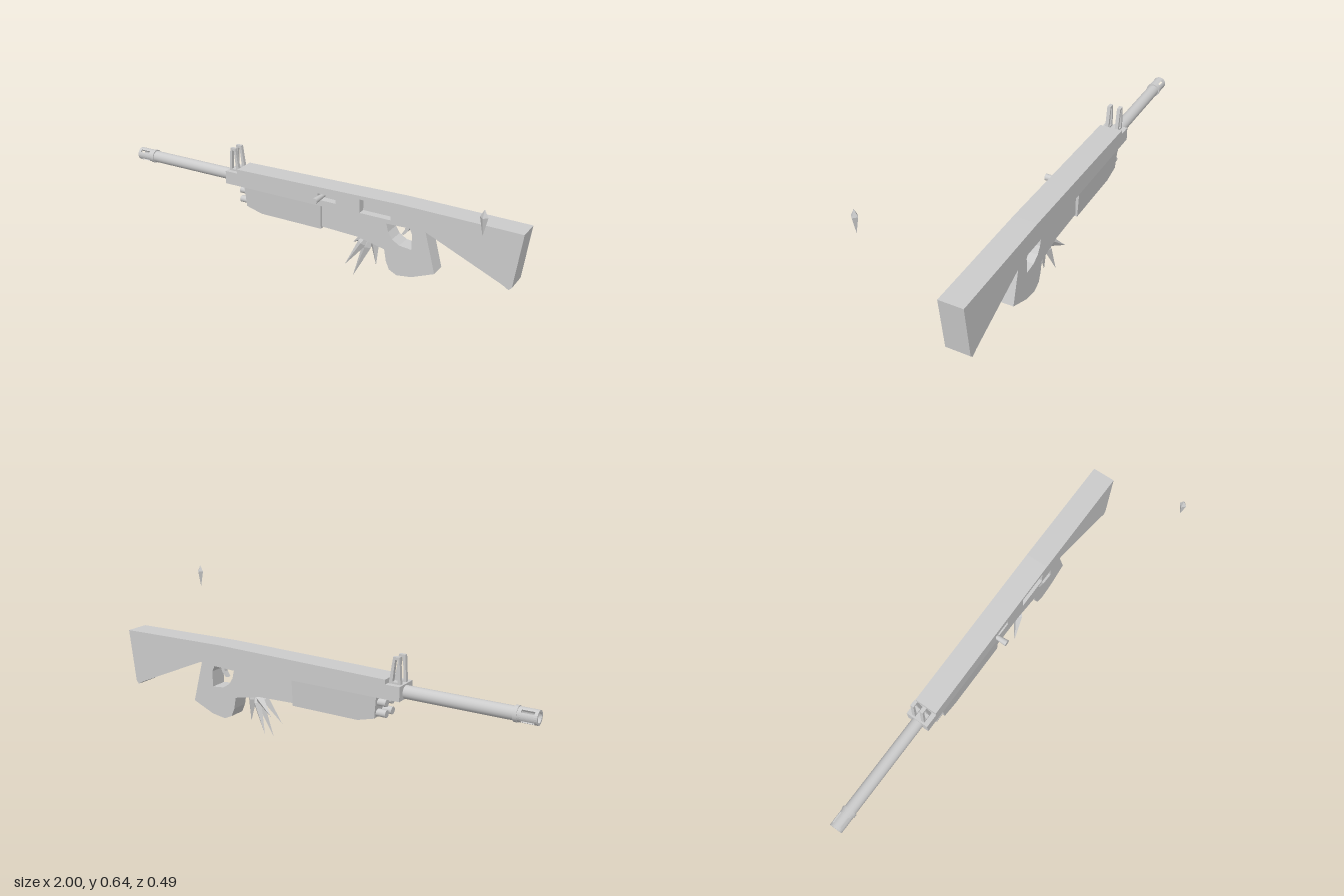
import * as THREE from 'three';

const Z = -0.189; // centre plane of the rifle
const BARREL_Y = 0.346;
const grey = new THREE.MeshStandardMaterial({ color: 0xcccccc, flatShading: true });
const smooth = new THREE.MeshStandardMaterial({ color: 0xcccccc });

export function createModel() {
  const model = new THREE.Group();

  const add = (name, geometry, material = grey) => {
    const mesh = new THREE.Mesh(geometry, material);
    mesh.name = name;
    model.add(mesh);
    return mesh;
  };
  const vecs = (pts) => pts.map(([x, y]) => new THREE.Vector2(x, y));
  // Side profile extruded from z0 to z1
  const plate = (pts, z0, z1, holes = []) => {
    const shape = new THREE.Shape(vecs(pts));
    holes.forEach((h) => shape.holes.push(new THREE.Path(vecs(h))));
    return new THREE.ExtrudeGeometry(shape, { depth: z1 - z0, bevelEnabled: false, curveSegments: 8 })
      .translate(0, 0, z0);
  };
  const rect = (x0, y0, x1, y1) => [[x0, y0], [x1, y0], [x1, y1], [x0, y1]];
  // Round rod along x
  const rod = (name, x0, x1, r, y, z) =>
    add(name, new THREE.CylinderGeometry(r, r, x1 - x0, 20)
      .rotateZ(Math.PI / 2).translate((x0 + x1) / 2, y, z), smooth);
  // Four-sided crystal running from tip to root
  const crystal = (name, tip, root, r, widest) => {
    const a = new THREE.Vector3(...tip), b = new THREE.Vector3(...root);
    const len = a.distanceTo(b);
    const mesh = add(name, new THREE.LatheGeometry(vecs([[0, 0], [r, len * widest], [0, len]]), 4));
    mesh.position.copy(a);
    mesh.quaternion.setFromUnitVectors(new THREE.Vector3(0, 1, 0), b.sub(a).normalize());
  };

  // Receiver and stock: solid rear slab, front slab with two recesses
  const body = [
    [-0.445, 0.318], [0.57, 0.318], [0.93, 0.163], [0.957, 0.147], [0.97, 0.16],
    [0.998, 0.405], [0.45, 0.413], [-0.38, 0.4], [-0.38, 0.38], [-0.445, 0.38],
  ];
  const port = rect(0.265, 0.33, 0.415, 0.393);
  const slot = rect(0.055, 0.346, 0.147, 0.376);
  add('receiverAndStock', plate(body, -0.243, -0.172));
  add('receiverPortSide', plate(body, -0.172, -0.135, [port, slot]));

  // Handguard, slightly narrower towards its underside
  const guard = plate([
    [-0.372, 0.318], [-0.34, 0.318], [-0.33, 0.225], [-0.25, 0.203], [0.07, 0.203], [0.07, 0.318],
  ], -0.054, 0.054);
  const p = guard.attributes.position;
  for (let i = 0; i < p.count; i++) {
    p.setZ(i, p.getZ(i) * (1 - 0.12 * (0.318 - p.getY(i)) / 0.115));
  }
  guard.translate(0, 0, Z);
  guard.computeVertexNormals();
  add('handguard', guard);

  // Grip frame with trigger opening
  add('gripFrame', plate([
    [0.06, 0.32], [0.06, 0.212], [0.25, 0.206], [0.385, 0.178], [0.395, 0.125], [0.412, 0.086],
    [0.45, 0.068], [0.52, 0.078], [0.625, 0.122], [0.57, 0.32],
  ], -0.228, -0.15, [[
    [0.39, 0.303], [0.4, 0.265], [0.42, 0.235], [0.455, 0.214], [0.513, 0.208],
    [0.513, 0.28], [0.5, 0.306],
  ]]));
  add('trigger', plate([
    [0.47, 0.31], [0.465, 0.28], [0.45, 0.255], [0.462, 0.255], [0.482, 0.278], [0.49, 0.31],
  ], Z - 0.01, Z + 0.01));

  // Barrel with collar
  rod('barrel', -0.92, -0.43, 0.028, BARREL_Y, Z);
  rod('barrelCollar', -0.92, -0.905, 0.033, BARREL_Y, Z);

  // Hollow muzzle: two rings joined by four prongs, leaving diagonal slots
  const sleeve = (name, x0, x1, mid, span) => {
    const full = span >= Math.PI * 2;
    const shape = new THREE.Shape();
    const a0 = mid - span / 2, a1 = mid + span / 2;
    shape.absarc(0, 0, 0.03, a0, a1, false);
    if (full) {
      shape.holes.push(new THREE.Path().absarc(0, 0, 0.021, 0, Math.PI * 2, true));
    } else {
      shape.absarc(0, 0, 0.021, a1, a0, true);
    }
    add(name, new THREE.ExtrudeGeometry(shape, { depth: x1 - x0, bevelEnabled: false, curveSegments: full ? 12 : 5 })
      .rotateY(Math.PI / 2).translate(x0, BARREL_Y, Z));
  };
  sleeve('muzzleRing', -1, -0.987, 0, Math.PI * 2);
  sleeve('muzzleBase', -0.935, -0.918, 0, Math.PI * 2);
  for (let i = 0; i < 4; i++) sleeve('muzzleProng', -0.988, -0.934, i * Math.PI / 2, 1.15);

  // Pair of open sight frames
  for (const z of [-0.1645, -0.212]) {
    add('sightFrame', plate(
      [[-0.437, 0.375], [-0.383, 0.375], [-0.402, 0.492], [-0.43, 0.492]],
      z - 0.008, z + 0.008,
      [[[-0.424, 0.388], [-0.4, 0.388], [-0.411, 0.48], [-0.421, 0.48]]],
    ));
  }

  // Short tubes at the front of the handguard
  for (const y of [0.292, 0.246]) {
    for (const dz of [-0.025, 0.025]) rod('frontTube', -0.375, -0.3, 0.016, y, Z + dz);
  }

  // Flared charging handle
  add('chargingHandle', new THREE.CylinderGeometry(0.015, 0.009, 0.092, 16)
    .rotateX(Math.PI / 2).translate(0.066, 0.358, -0.129), smooth);

  // Crystal cluster under the frame
  const spikes = [
    [[0.23, 0.002, -0.16], [0.31, 0.225, -0.185]],
    [[0.235, 0.032, -0.218], [0.305, 0.225, -0.195]],
    [[0.2, 0.062, -0.135], [0.3, 0.225, -0.175]],
    [[0.33, 0.068, -0.19], [0.315, 0.225, -0.19]],
    [[0.185, 0.128, -0.237], [0.3, 0.22, -0.195]],
  ];
  spikes.forEach(([tip, root]) => crystal('crystalSpike', tip, root, 0.021, 0.7));

  // Floating crystal
  crystal('floatingCrystal', [0.95, 0.535, 0.228], [0.95, 0.641, 0.228], 0.016, 0.71);

  return model;
}
